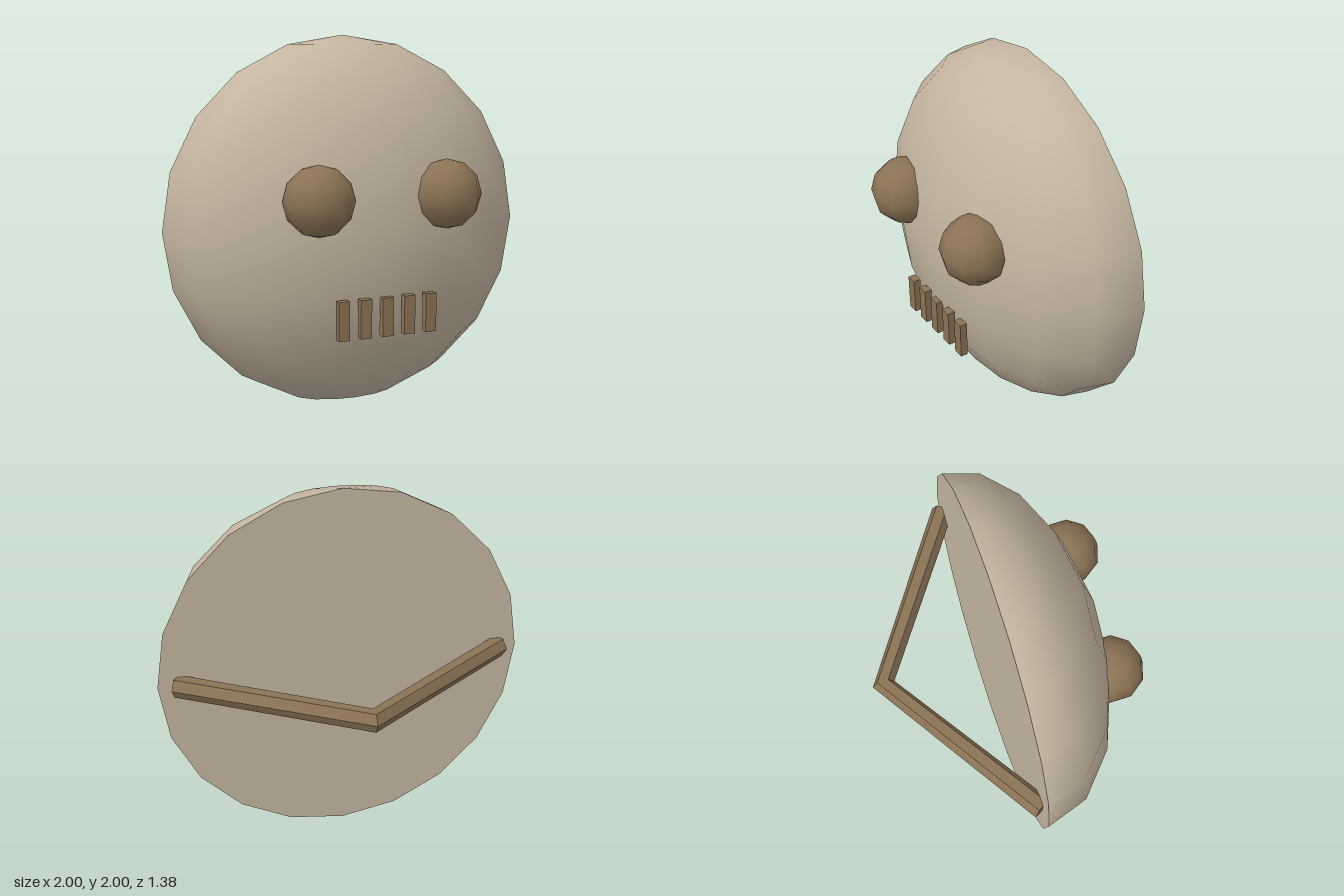
import * as THREE from 'three';

const BACK = -0.035; // z of the flat back

// Six-sided bar mitred at each path point; sections given as [x, z, outward normal x, outward normal z]
function hexStrap(sections, r) {
  const rings = sections.map(([x, z, nx, nz]) =>
    Array.from({ length: 6 }, (_, i) => {
      const a = (i * Math.PI) / 3;
      return [x + Math.cos(a) * r * nx, 1 + Math.sin(a) * r, z + Math.cos(a) * r * nz];
    }));
  const pos = [];
  const tri = (a, b, c) => pos.push(...a, ...b, ...c);
  for (let s = 0; s < rings.length - 1; s++) {
    for (let i = 0; i < 6; i++) {
      const j = (i + 1) % 6;
      const [a, b, c, d] = [rings[s][i], rings[s][j], rings[s + 1][j], rings[s + 1][i]];
      tri(a, c, b);
      tri(a, d, c);
    }
  }
  // end caps
  const last = rings[rings.length - 1];
  for (let i = 1; i < 5; i++) {
    tri(rings[0][0], rings[0][i], rings[0][i + 1]);
    tri(last[0], last[i + 1], last[i]);
  }
  const g = new THREE.BufferGeometry();
  g.setAttribute('position', new THREE.Float32BufferAttribute(pos, 3));
  g.computeVertexNormals();
  return g;
}

export function createModel() {
  const group = new THREE.Group();
  const pale = new THREE.MeshStandardMaterial({ color: 0xc4b5a0 });
  pale.name = 'pale clay';
  const brown = new THREE.MeshStandardMaterial({ color: 0x8b7355, side: THREE.DoubleSide });
  brown.name = 'brown wood';

  const add = (name, geometry, material, x, y, z) => {
    const mesh = new THREE.Mesh(geometry, material);
    mesh.name = name;
    mesh.position.set(x, y, z);
    group.add(mesh);
    return mesh;
  };

  // Domed face and flat back
  const dome = new THREE.SphereGeometry(1, 8, 10, 0, Math.PI);
  dome.scale(1, 1, 0.6);
  add('faceDome', dome, pale, 0, 1, BACK);
  add('faceBack', new THREE.CircleGeometry(1, 20).rotateY(Math.PI), pale, 0, 1, BACK);

  // Bulging eyes, one ridge pointing forward
  const eye = new THREE.SphereGeometry(0.18, 10, 6).rotateY(Math.PI / 10);
  add('leftEye', eye, brown, 0.35, 1.2, 0.51);
  add('rightEye', eye, brown, -0.35, 1.2, 0.51);

  // Row of teeth
  const tooth = new THREE.BoxGeometry(0.06, 0.2, 0.04);
  for (let i = -2; i <= 2; i++) add('tooth' + (i + 3), tooth, brown, i * 0.12, 0.6, 0.545);

  // Bent strap behind the face
  const nx = 0.555, nz = -0.832;
  const strap = hexStrap([[-0.9, BACK, -nx, nz], [0, BACK - 0.6, 0, -1], [0.9, BACK, nx, nz]], 0.06);
  add('strap', strap, brown, 0, 0, 0);

  return group;
}
